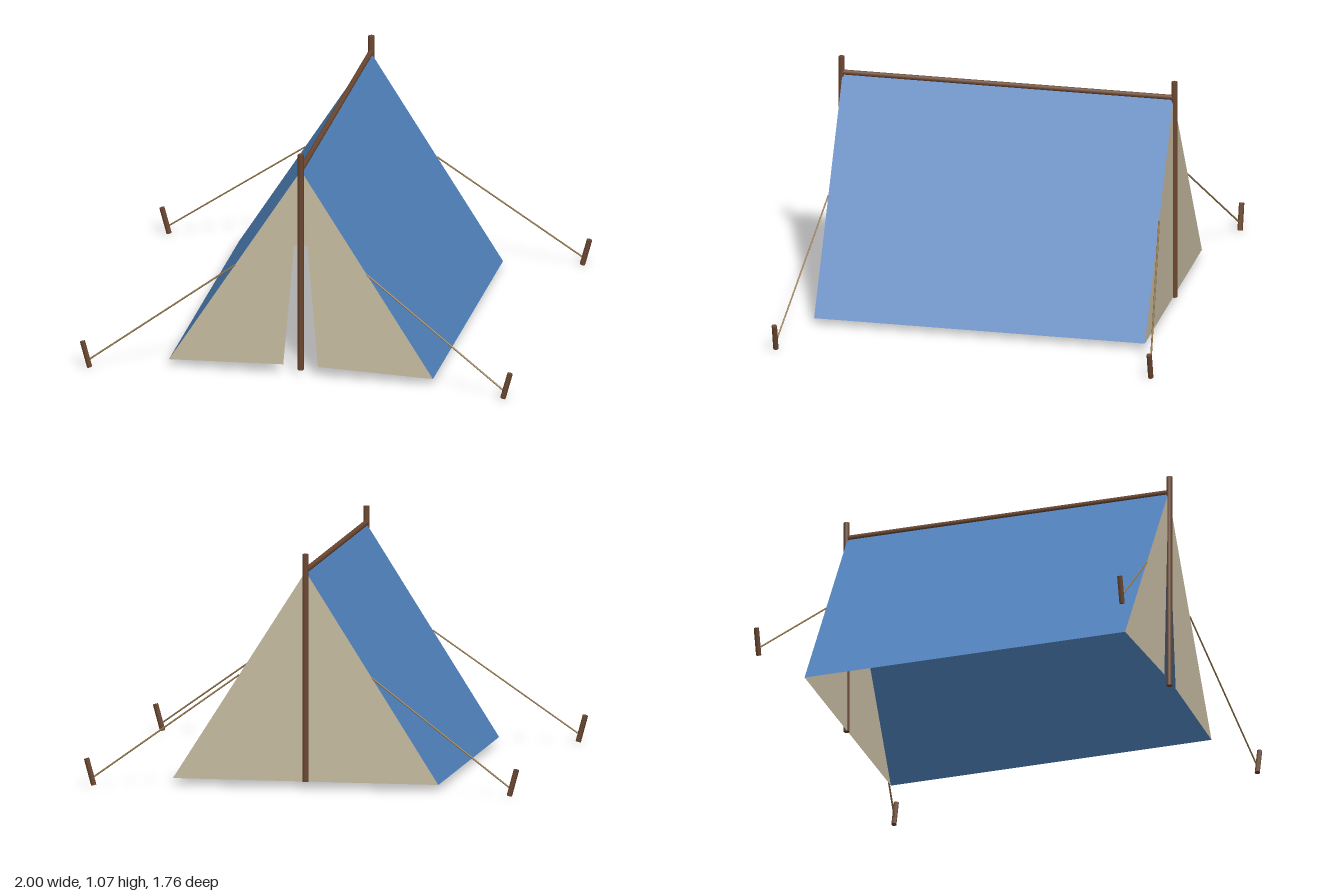
import * as THREE from 'three';

const material = (name, color, side = THREE.FrontSide) => {
  const m = new THREE.MeshStandardMaterial({ color, side });
  m.name = name;
  return m;
};

export function createModel() {
  const tent = new THREE.Group();
  tent.name = 'tent';

  const blueCloth = material('blueCloth', 0x4f80bb, THREE.DoubleSide);
  const canvas = material('canvas', 0xc8bda3, THREE.DoubleSide);
  const wood = material('wood', 0x6b4730);
  const rope = material('rope', 0x94794f);

  const halfWidth = 0.61, base = 0.03, apex = 0.99, endZ = 0.765;

  const add = (name, geometry, mat) => {
    const mesh = new THREE.Mesh(geometry, mat);
    mesh.name = name;
    tent.add(mesh);
    return mesh;
  };

  // Round bar between two points
  const bar = (name, from, to, radius, sides, mat) => {
    const a = new THREE.Vector3(...from), b = new THREE.Vector3(...to);
    const dir = b.clone().sub(a);
    const mesh = add(name, new THREE.CylinderGeometry(radius, radius, dir.length(), sides), mat);
    mesh.position.copy(a).add(b).multiplyScalar(0.5);
    mesh.quaternion.setFromUnitVectors(new THREE.Vector3(0, 1, 0), dir.normalize());
  };

  // Flat cloth panel fanned from its first corner
  const panel = (name, corners, mat) => {
    const g = new THREE.BufferGeometry().setFromPoints(corners.map((c) => new THREE.Vector3(...c)));
    const index = [];
    for (let i = 1; i < corners.length - 1; i++) index.push(0, i, i + 1);
    g.setIndex(index);
    g.computeVertexNormals();
    add(name, g, mat);
  };

  for (const [side, s] of [['left', 1], ['right', -1]]) {
    // Sloping roof
    const roof = [[0, apex, endZ], [s * halfWidth, base, endZ], [s * halfWidth, base, -endZ], [0, apex, -endZ]];
    panel(`${side}Roof`, s > 0 ? roof : roof.reverse(), blueCloth);

    // Door flap, its loose inner corner lifted slightly forward
    const flap = [[0, apex, endZ], [s * 0.08, 0.05, endZ + 0.008], [s * halfWidth, base, endZ]];
    panel(`${side}DoorFlap`, s > 0 ? flap : flap.reverse(), canvas);
  }

  // Closed back wall
  panel('backWall', [[0, apex, -endZ], [halfWidth, base, -endZ], [-halfWidth, base, -endZ]], canvas);

  // Ridge pole
  bar('ridgePole', [0, 0.994, -0.77], [0, 0.994, 0.77], 0.0125, 8, wood);

  for (const [end, e] of [['front', 1], ['back', -1]]) {
    // Upright pole
    bar(`${end}Pole`, [0, base, e * 0.77], [0, 1.07, e * 0.77], 0.014, 10, wood);

    // Guy ropes and their leaning pegs
    for (const [side, s] of [['Left', 1], ['Right', -1]]) {
      bar(`${end}${side}Rope`, [s * 0.305, 0.51, e * endZ], [s * 0.957, 0.04, e * 0.865], 0.004, 6, rope);
      bar(`${end}${side}Peg`, [s * 0.955, 0.004, e * 0.867], [s * 0.988, 0.125, e * 0.867], 0.0125, 8, wood);
    }
  }

  return tent;
}
